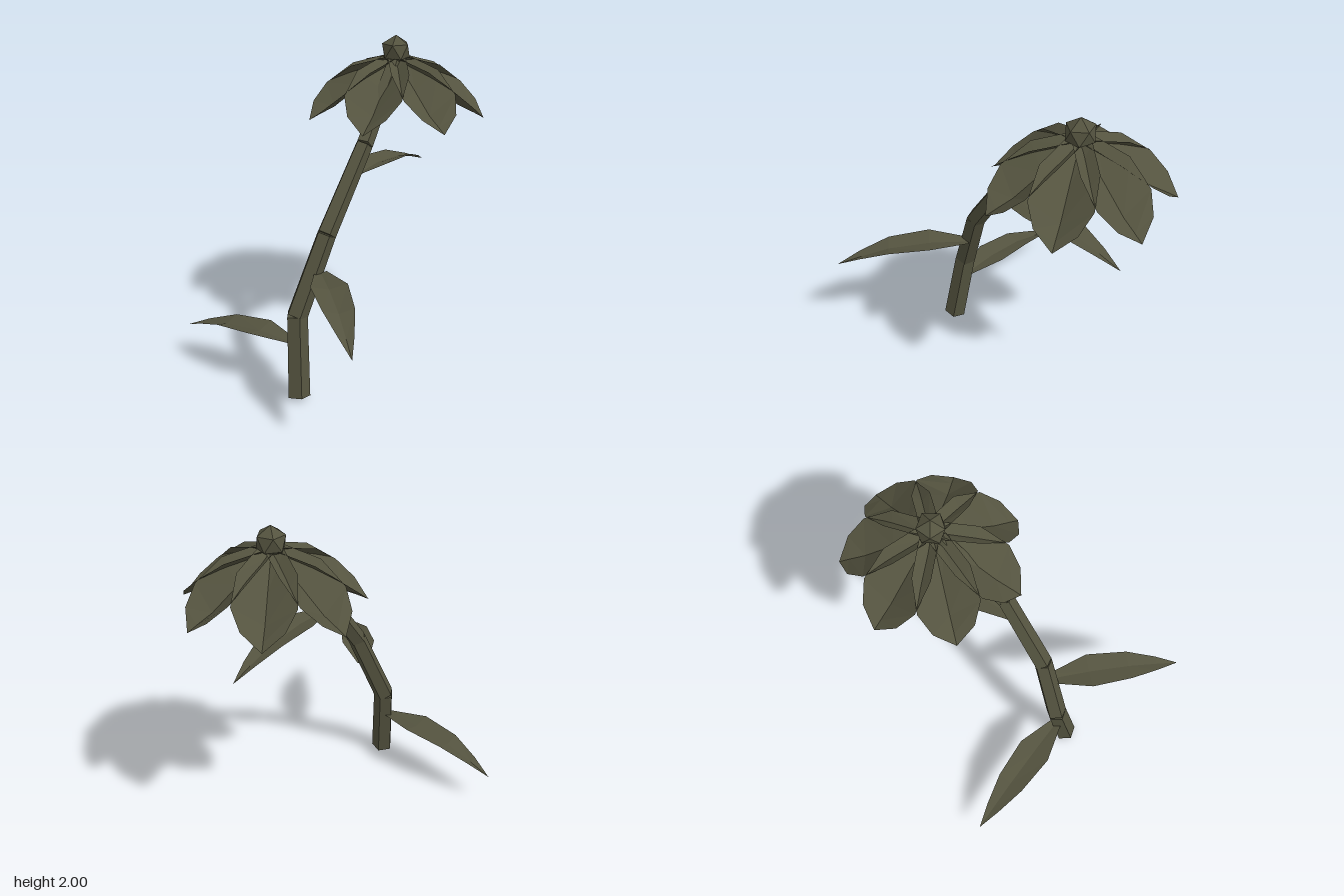
import * as THREE from 'three';

const V = (x, y, z) => new THREE.Vector3(x, y, z);

// Folded blade along +z. Rows are [distance, edge height, half width, midrib drop].
function bladeGeometry(rows) {
  const pos = [], index = [];
  rows.forEach(([d, y, w, drop], i) => {
    pos.push(-w, y, d, 0, y - drop, d, w, y, d);
    if (i === 0) return;
    for (let k = 0; k < 2; k++) {
      const a = (i - 1) * 3 + k, b = i * 3 + k;
      index.push(a, b, a + 1, a + 1, b, b + 1);
    }
  });
  const g = new THREE.BufferGeometry();
  g.setAttribute('position', new THREE.Float32BufferAttribute(pos, 3));
  g.setIndex(index);
  g.computeVertexNormals();
  return g;
}

export function createModel() {
  const root = new THREE.Group();
  root.name = 'flower';
  const olive = new THREE.MeshStandardMaterial({ color: 0x54533f, flatShading: true, side: THREE.DoubleSide });
  olive.name = 'dark olive';

  const add = (parent, name, geometry) => {
    const mesh = new THREE.Mesh(geometry, olive);
    mesh.name = name;
    parent.add(mesh);
    return mesh;
  };

  // Stem: straight five-sided segments that bend at each joint, a flat side to the front
  const stem = new THREE.Group();
  stem.name = 'stem';
  root.add(stem);
  const joints = [V(-0.605, 0.01, 0.135), V(-0.535, 0.49, 0.075), V(-0.34, 0.96, 0.15), V(-0.01, 1.43, 0.187), V(0.43, 1.86, 0.115)];
  const radii = [0.07, 0.066, 0.06, 0.054, 0.047];
  for (let i = 0; i < joints.length - 1; i++) {
    const a = joints[i], b = joints[i + 1];
    const dir = b.clone().sub(a);
    const segment = add(stem, 'stemSegment',
      new THREE.CylinderGeometry(radii[i + 1], radii[i], dir.length(), 5, 1, false, Math.PI / 5));
    segment.position.copy(a).add(b).multiplyScalar(0.5);
    segment.quaternion.setFromUnitVectors(V(0, 1, 0), dir.normalize());
  }

  // Leaves: long folded blades that arch and droop to a point
  const leafGeometry = bladeGeometry([
    [0, 0, 0.035, 0.01], [0.25, 0.022, 0.108, 0.025], [0.51, -0.005, 0.09, 0.025], [0.7, -0.07, 0.045, 0.015], [0.845, -0.135, 0, 0]
  ]);
  const leaves = [
    [V(-0.56, 0.33, 0.06), V(-0.56, 0, -0.78)],
    [V(-0.41, 0.75, 0.16), V(-0.98, 0, 0.78)],
    [V(-0.07, 1.27, 0.18), V(0.77, 0, 0.12)]
  ];
  for (const [base, tip] of leaves) {
    const leaf = add(root, 'leaf', leafGeometry);
    leaf.position.copy(base);
    leaf.rotation.y = Math.atan2(tip.x - base.x, tip.z - base.z);
  }

  // Flower head: seven drooping cupped petals whose raised edges cross their neighbours
  const head = new THREE.Group();
  head.name = 'flowerHead';
  head.position.set(0.443, 0, 0.11);
  root.add(head);
  const petalGeometry = bladeGeometry([
    [0.03, 1.87, 0.075, 0.04], [0.22, 1.81, 0.165, 0.11], [0.39, 1.69, 0.18, 0.11], [0.49, 1.595, 0.12, 0.06], [0.55, 1.505, 0, 0]
  ]);
  for (let i = 0; i < 7; i++) {
    add(head, 'petal', petalGeometry).rotation.y = Math.PI + i * Math.PI * 2 / 7;
  }

  // Centre: two five-sided rings, half a step apart, capped by points
  const R = 0.095, centre = new THREE.IcosahedronGeometry(R, 0);
  const phi = (1 + Math.sqrt(5)) / 2;
  centre.applyQuaternion(new THREE.Quaternion().setFromUnitVectors(V(0, 1, phi).normalize(), V(0, 1, 0)));
  add(head, 'flowerCentre', centre).position.y = 2 - R;

  return root;
}
